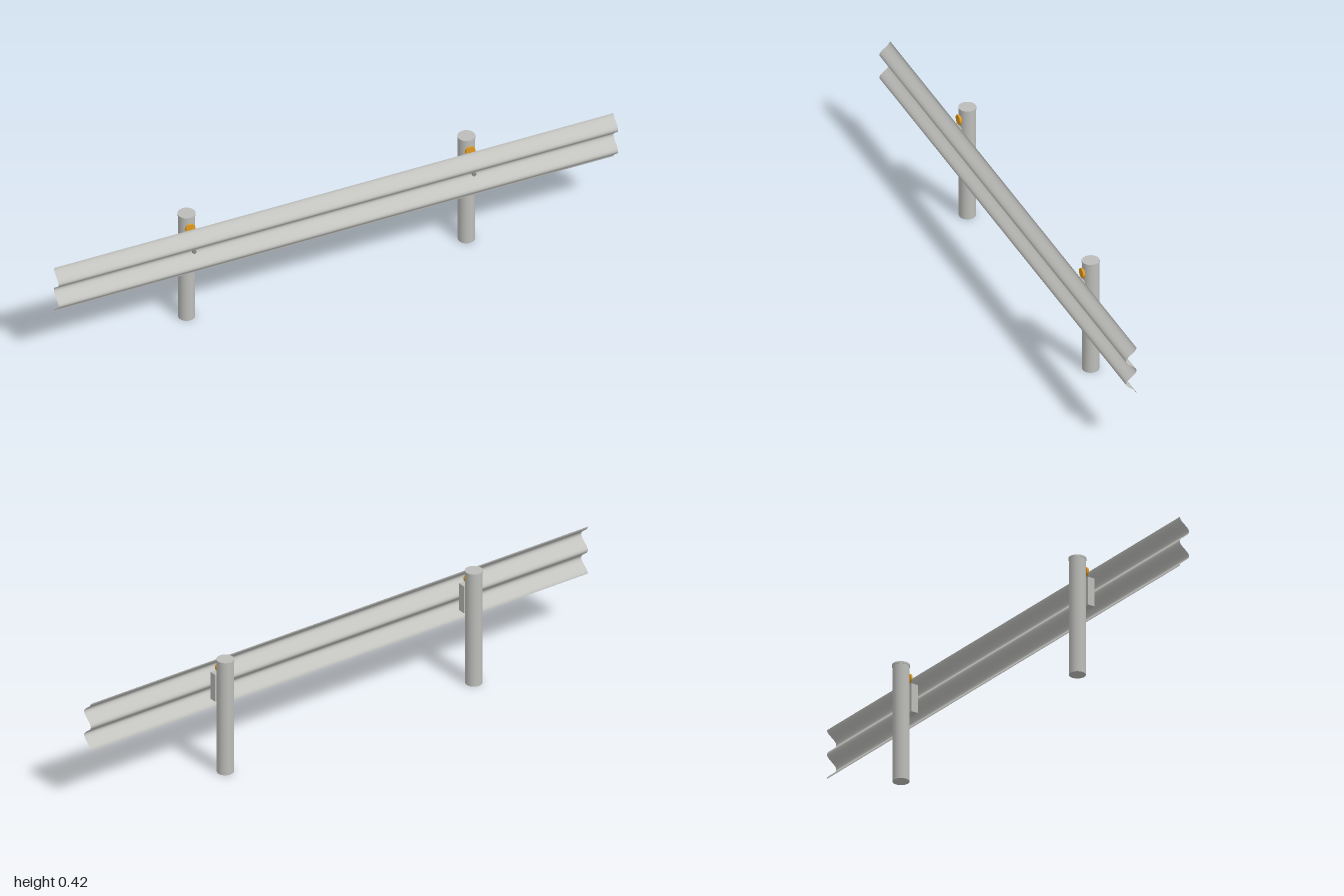
import * as THREE from 'three';

const steel = new THREE.MeshStandardMaterial({ name: 'galvanised steel', color: 0xbcbdb9 });
const sheet = new THREE.MeshStandardMaterial({ name: 'rail sheet steel', color: 0xc2c3bf, side: THREE.DoubleSide });
const amber = new THREE.MeshStandardMaterial({ name: 'amber reflector', color: 0xe09a20 });
const dark = new THREE.MeshStandardMaterial({ name: 'bolt steel', color: 0x8a8b88 });

const RAIL_Y = 0.3025;

function add(parent, name, geometry, material, x, y, z) {
  const mesh = new THREE.Mesh(geometry, material);
  mesh.name = name;
  mesh.position.set(x, y, z);
  parent.add(mesh);
  return mesh;
}

// Double-wave sheet: a cosine cross-section stretched along x
function railGeometry() {
  const geometry = new THREE.PlaneGeometry(2, 0.175, 1, 48);
  const p = geometry.attributes.position;
  for (let i = 0; i < p.count; i++) {
    p.setZ(i, 0.0435 - 0.0185 * Math.cos((p.getY(i) / 0.0875) * Math.PI * 2));
  }
  geometry.computeVertexNormals();
  return geometry;
}

function createSupport(x) {
  const support = new THREE.Group();
  support.name = 'support';
  support.position.x = x;

  // Round post with a slightly wider cap
  add(support, 'post', new THREE.CylinderGeometry(0.028, 0.028, 0.412, 32), steel, 0, 0.206, -0.031);
  add(support, 'postCap', new THREE.CylinderGeometry(0.0295, 0.0295, 0.007, 32), steel, 0, 0.4145, -0.031);

  // Spacer block between post and rail
  add(support, 'spacerBlock', new THREE.BoxGeometry(0.04, 0.1, 0.026), steel, 0, 0.302, 0.01);

  // Disc reflector on the front of the post
  const disc = new THREE.CylinderGeometry(0.017, 0.017, 0.008, 24).rotateX(Math.PI / 2);
  add(support, 'reflector', disc, amber, 0, 0.376, -0.001);

  // Bolt through the valley of the rail
  const bolt = new THREE.CylinderGeometry(0.007, 0.007, 0.008, 12).rotateX(Math.PI / 2);
  add(support, 'bolt', bolt, dark, 0, RAIL_Y, 0.029);
  return support;
}

export function createModel() {
  const model = new THREE.Group();
  model.name = 'guardRail';
  add(model, 'rail', railGeometry(), sheet, 0, RAIL_Y, 0);
  for (const x of [-0.5, 0.5]) model.add(createSupport(x));
  return model;
}
